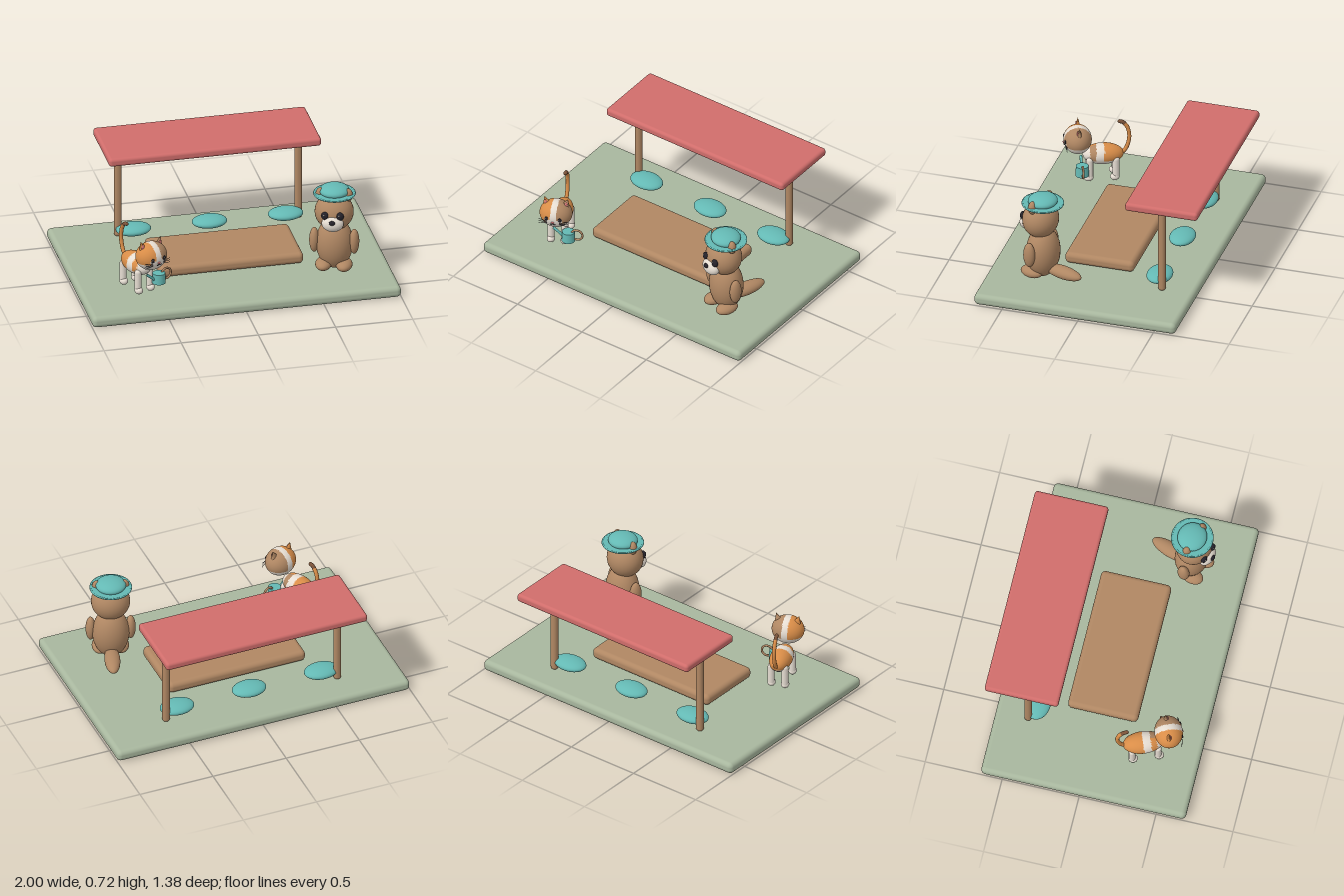
import * as THREE from 'three';
import { RoundedBoxGeometry } from 'three/addons/geometries/RoundedBoxGeometry.js';

const mat = (name, color) => Object.assign(new THREE.MeshStandardMaterial({ color }), { name });

export function createModel() {
  const sage = mat('sage', 0xa8b79e), red = mat('red', 0xd06d6b), wood = mat('wood brown', 0xb08763);
  const teal = mat('teal', 0x64b9b4), orange = mat('orange', 0xd98d48), cream = mat('cream', 0xe6ddd2);
  const dark = mat('dark', 0x25222a), pink = mat('pink', 0xd9787a), tipBrown = mat('tail tip brown', 0x7a5238);

  const add = (parent, name, geo, material, x = 0, y = 0, z = 0) => {
    const m = new THREE.Mesh(geo, material);
    m.name = name;
    m.position.set(x, y, z);
    parent.add(m);
    return m;
  };
  const ellipsoid = (rx, ry, rz, w = 32, h = 24) => new THREE.SphereGeometry(1, w, h).scale(rx, ry, rz);
  const blob = (parent, name, material, [x, y, z], [rx, ry, rz]) =>
    add(parent, name, ellipsoid(rx, ry, rz), material, x, y, z);
  const group = (parent, name, x = 0, y = 0, z = 0, turn = 0) => {
    const g = new THREE.Group();
    g.name = name;
    g.position.set(x, y, z);
    g.rotation.y = turn;
    parent.add(g);
    return g;
  };
  const tube = (pts, r, n = 24) =>
    new THREE.TubeGeometry(new THREE.CatmullRomCurve3(pts.map(p => new THREE.Vector3(...p))), n, r, 10);

  // Splits a geometry into material groups; rule(x, y, z) gives the material index of each triangle
  const paint = (geo, rule) => {
    const g = geo.toNonIndexed(), p = g.attributes.position;
    for (let i = 0; i < p.count; i += 3) {
      const mid = k => (p[k](i) + p[k](i + 1) + p[k](i + 2)) / 3;
      const index = rule(mid('getX'), mid('getY'), mid('getZ'));
      const last = g.groups[g.groups.length - 1];
      if (last && last.materialIndex === index) last.count += 3;
      else g.addGroup(i, 3, index);
    }
    return g;
  };

  const model = new THREE.Group();
  model.name = 'picnicShelter';
  const box = (name, material, w, h, d, r, x, y, z) =>
    add(model, name, new RoundedBoxGeometry(w, h, d, 4, r), material, x, y, z);

  // Ground slab, low table and shelter
  box('ground', sage, 2, 0.075, 1.33, 0.03, 0, 0.0375, 0.024);
  box('table', wood, 0.935, 0.075, 0.455, 0.03, 0, 0.121, 0.022);
  box('roof', red, 1.375, 0.056, 0.478, 0.02, 0, 0.692, -0.453);
  for (const s of [-1, 1])
    add(model, 'post', new RoundedBoxGeometry(0.048, 0.58, 0.048, 5, 0.022), wood, s * 0.585, 0.36, -0.431);
  for (const x of [-0.493, 0, 0.493])
    blob(model, 'cushion', teal, [x, 0.129, -0.389], [0.113, 0.036, 0.082]);

  // Seated bear with a hat
  const bear = group(model, 'bear', 0.645, 0, 0.335, -0.33);
  blob(bear, 'body', wood, [0, 0.26, 0], [0.118, 0.172, 0.105]);
  blob(bear, 'head', wood, [0, 0.49, 0.02], [0.124, 0.122, 0.113]);
  blob(bear, 'tail', wood, [0, 0.155, -0.155], [0.05, 0.04, 0.138]);
  blob(bear, 'muzzle', cream, [0, 0.448, 0.115], [0.07, 0.054, 0.047]);
  blob(bear, 'nose', dark, [0, 0.469, 0.156], [0.02, 0.015, 0.013]);
  for (const s of [-1, 1]) {
    blob(bear, 'arm', wood, [s * 0.127, 0.282, 0.018], [0.032, 0.085, 0.04]);
    blob(bear, 'foot', wood, [s * 0.066, 0.127, 0.042], [0.052, 0.037, 0.077]);
    blob(bear, 'ear', wood, [s * 0.088, 0.607, 0.02], [0.03, 0.044, 0.027]);
    blob(bear, 'eye', dark, [s * 0.048, 0.503, 0.122], [0.024, 0.027, 0.018]);
    blob(bear, 'eyeGlint', cream, [s * 0.048 - 0.006, 0.513, 0.138], [0.005, 0.005, 0.004]);
  }
  const hat = group(bear, 'hat', 0, 0.61, 0.003);
  add(hat, 'brim', new THREE.CylinderGeometry(0.131, 0.131, 0.009, 48), teal);
  add(hat, 'brimEdge', new THREE.TorusGeometry(0.129, 0.006, 8, 48).rotateX(Math.PI / 2), teal);
  blob(hat, 'crown', teal, [0, 0.018, 0], [0.097, 0.041, 0.093]);

  // Standing calico cat
  const cat = group(model, 'cat', -0.64, 0, 0.33, 0.38);
  const coat = [orange, cream, wood];
  add(cat, 'body', paint(ellipsoid(0.072, 0.068, 0.13, 48, 36), (x, y, z) =>
    y < -0.025 || z > 0.085 || (z > -0.005 && z < 0.045) ? 1 : z > 0 && x > 0 ? 2 : 0), coat, 0, 0.258, 0);
  add(cat, 'head', paint(ellipsoid(0.105, 0.092, 0.09, 64, 40), (x, y, z) =>
    y < -0.03 || (y < 0 && z > 0.075) || Math.abs(x) < 0.019 ? 1 : x > 0 ? 2 : 0), coat, 0.005, 0.373, 0.162);
  for (const s of [-1, 1]) {
    for (const z of [-0.078, 0.088]) {
      add(cat, 'leg', new THREE.CapsuleGeometry(0.022, 0.12, 6, 16), cream, s * 0.045, 0.175, z);
      blob(cat, 'paw', cream, [s * 0.045, 0.112, z + 0.007], [0.026, 0.024, 0.03]);
    }
    // Ears with pink fronts
    const ear = group(cat, 'ear', 0.005 + s * 0.066, 0.452, 0.155);
    ear.rotation.z = -s * 0.3;
    add(ear, 'earOuter', new THREE.ConeGeometry(0.034, 0.07, 24).scale(1, 1, 0.6), s > 0 ? wood : orange);
    add(ear, 'earInner', new THREE.ConeGeometry(0.023, 0.05, 24).scale(1, 1, 0.5), pink, 0, -0.006, 0.011);
  }

  // Cat face, placed on the front of the head
  const face = group(cat, 'face', 0.005, 0.373, 0.162);
  const front = (x, y) => 0.09 * Math.sqrt(1 - (x / 0.105) ** 2 - (y / 0.092) ** 2);
  blob(face, 'nose', pink, [0, -0.017, front(0, -0.017)], [0.01, 0.007, 0.006]);
  for (const s of [-1, 1]) {
    blob(face, 'eye', dark, [s * 0.043, 0.004, front(0.043, 0.004)], [0.012, 0.014, 0.006]);
    blob(face, 'eyeGlint', cream, [s * 0.043 - 0.004, 0.009, front(0.043, 0.009) + 0.005], [0.003, 0.003, 0.002]);
    add(face, 'mouth', tube([[0, -0.025, 0.089], [s * 0.008, -0.034, 0.086], [s * 0.018, -0.031, 0.086]], 0.002, 8), dark);
    for (const k of [-1, 0, 1])
      add(face, 'whisker', tube([[s * 0.04, -0.026 + k * 0.006, front(0.04, -0.026)],
        [s * 0.068, -0.026 + k * 0.011, 0.077], [s * 0.095, -0.028 + k * 0.016, 0.071]], 0.0015, 8), dark);
  }

  // Raised tail with a dark tip
  add(cat, 'tail', tube([[0, 0.24, -0.1], [0, 0.29, -0.145], [0, 0.37, -0.166], [0, 0.44, -0.155], [0, 0.47, -0.135]], 0.013), orange);
  add(cat, 'tailTip', tube([[0, 0.467, -0.138], [0, 0.48, -0.125], [0, 0.486, -0.105]], 0.0125, 10), tipBrown);
  blob(cat, 'tailEnd', tipBrown, [0, 0.486, -0.105], [0.0125, 0.0125, 0.0125]);

  // Watering can
  const can = group(cat, 'wateringCan', 0.08, 0.185, 0.139);
  add(can, 'canBody', new THREE.CylinderGeometry(0.04, 0.043, 0.068, 32), teal);
  add(can, 'spout', tube([[-0.03, -0.01, 0], [-0.065, 0.022, 0], [-0.1, 0.05, 0]], 0.009, 10), teal);
  add(can, 'handle', new THREE.TorusGeometry(0.036, 0.007, 10, 32), wood, 0.055, 0.016, 0);

  return model;
}
